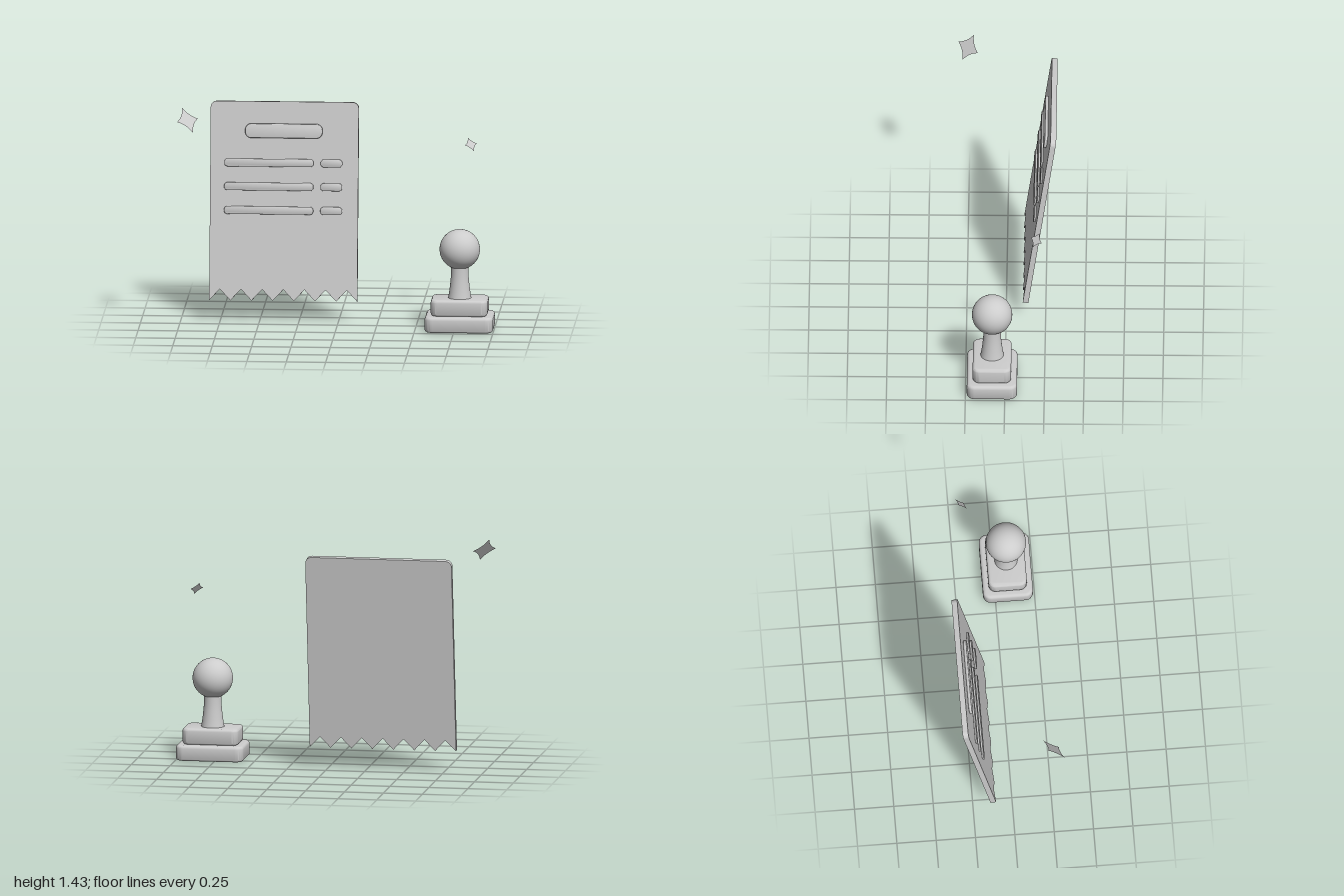
import * as THREE from 'three';
import { toCreasedNormals } from 'three/addons/utils/BufferGeometryUtils.js';

const grey = new THREE.MeshStandardMaterial({ color: 0xcccccc });
grey.name = 'light grey';
const greySheet = new THREE.MeshStandardMaterial({ color: 0xcccccc, side: THREE.DoubleSide });
greySheet.name = 'light grey sheet';

function add(parent, name, geometry, material = grey) {
  const mesh = new THREE.Mesh(geometry, material);
  mesh.name = name;
  parent.add(mesh);
  return mesh;
}

function roundedRect(w, h, r) {
  const x = w / 2, y = h / 2, s = new THREE.Shape();
  s.absarc(x - r, y - r, r, 0, Math.PI / 2);
  s.absarc(r - x, y - r, r, Math.PI / 2, Math.PI);
  s.absarc(r - x, r - y, r, Math.PI, Math.PI * 1.5);
  s.absarc(x - r, r - y, r, Math.PI * 1.5, Math.PI * 2);
  s.closePath();
  return s;
}

// Rounded slab with softened edges, from z = 0 to z = depth
function slab(w, h, depth, r, bevel) {
  const g = new THREE.ExtrudeGeometry(roundedRect(w - 2 * bevel, h - 2 * bevel, r - bevel), {
    depth: depth - 2 * bevel, bevelSize: bevel, bevelThickness: bevel,
    bevelSegments: 4, curveSegments: 8,
  });
  g.translate(0, 0, bevel);
  return toCreasedNormals(g, 0.7);
}

// Receipt sheet: rounded top corners, torn zigzag bottom
function sheetGeometry() {
  const half = 0.47, top = 1.265, r = 0.04, teeth = 7, depth = 0.036;
  const s = new THREE.Shape();
  s.moveTo(-half, 0);
  for (let i = 1; i <= teeth * 2; i++) s.lineTo(-half + (i * half) / teeth, i % 2 ? 0.072 : 0);
  s.lineTo(half, top - r);
  s.absarc(half - r, top - r, r, 0, Math.PI / 2);
  s.absarc(r - half, top - r, r, Math.PI / 2, Math.PI);
  s.closePath();
  const g = new THREE.ExtrudeGeometry(s, { depth, bevelEnabled: false, curveSegments: 8 });
  g.translate(0, 0, -depth);
  return toCreasedNormals(g, 0.6);
}

function sparkleGeometry(r) {
  const s = new THREE.Shape(), c = 0.3 * r;
  s.moveTo(r, 0);
  s.quadraticCurveTo(c, c, 0, r);
  s.quadraticCurveTo(-c, c, -r, 0);
  s.quadraticCurveTo(-c, -c, 0, -r);
  s.quadraticCurveTo(c, -c, r, 0);
  return new THREE.ShapeGeometry(s, 10);
}

export function createModel() {
  const model = new THREE.Group();
  model.name = 'receiptAndStamp';

  // Leaning receipt with raised lines
  const receipt = new THREE.Group();
  receipt.name = 'receipt';
  receipt.position.set(-0.35, 0.132, -0.105);
  receipt.rotation.x = -0.14;
  model.add(receipt);
  add(receipt, 'sheet', sheetGeometry());
  add(receipt, 'headerBar', slab(0.492, 0.092, 0.019, 0.04, 0.006)).position.set(-0.004, 1.079, 0);
  for (const y of [0.876, 0.725, 0.574]) {
    add(receipt, 'itemLine', slab(0.567, 0.05, 0.013, 0.021, 0.004)).position.set(-0.097, y, 0);
    add(receipt, 'priceLine', slab(0.138, 0.05, 0.013, 0.021, 0.004)).position.set(0.3, y, 0);
  }

  // Hand stamp
  const stamp = new THREE.Group();
  stamp.name = 'stamp';
  stamp.position.set(0.782, 0, 0.082);
  model.add(stamp);
  const base = add(stamp, 'stampBase', slab(0.434, 0.318, 0.1, 0.05, 0.02));
  const step = add(stamp, 'stampStep', slab(0.36, 0.244, 0.104, 0.045, 0.018));
  base.rotation.x = step.rotation.x = -Math.PI / 2;
  step.position.y = 0.1;
  const neck = new THREE.SplineCurve([
    [0.075, 0.195], [0.066, 0.25], [0.058, 0.32], [0.055, 0.38], [0.055, 0.44],
  ].map(([x, y]) => new THREE.Vector2(x, y)));
  add(stamp, 'neck', new THREE.LatheGeometry(neck.getPoints(16), 40));
  add(stamp, 'knob', new THREE.SphereGeometry(0.128, 48, 32)).position.y = 0.515;

  // Flat sparkles turned to the front left corner
  for (const [x, y, z, r] of [[-0.936, 1.36, 0.252, 0.089], [0.836, 1.138, -0.198, 0.05]]) {
    const sparkle = add(model, 'sparkle', sparkleGeometry(r), greySheet);
    sparkle.position.set(x, y, z);
    sparkle.lookAt(x + 1, y + 1, z + 1);
  }
  return model;
}
